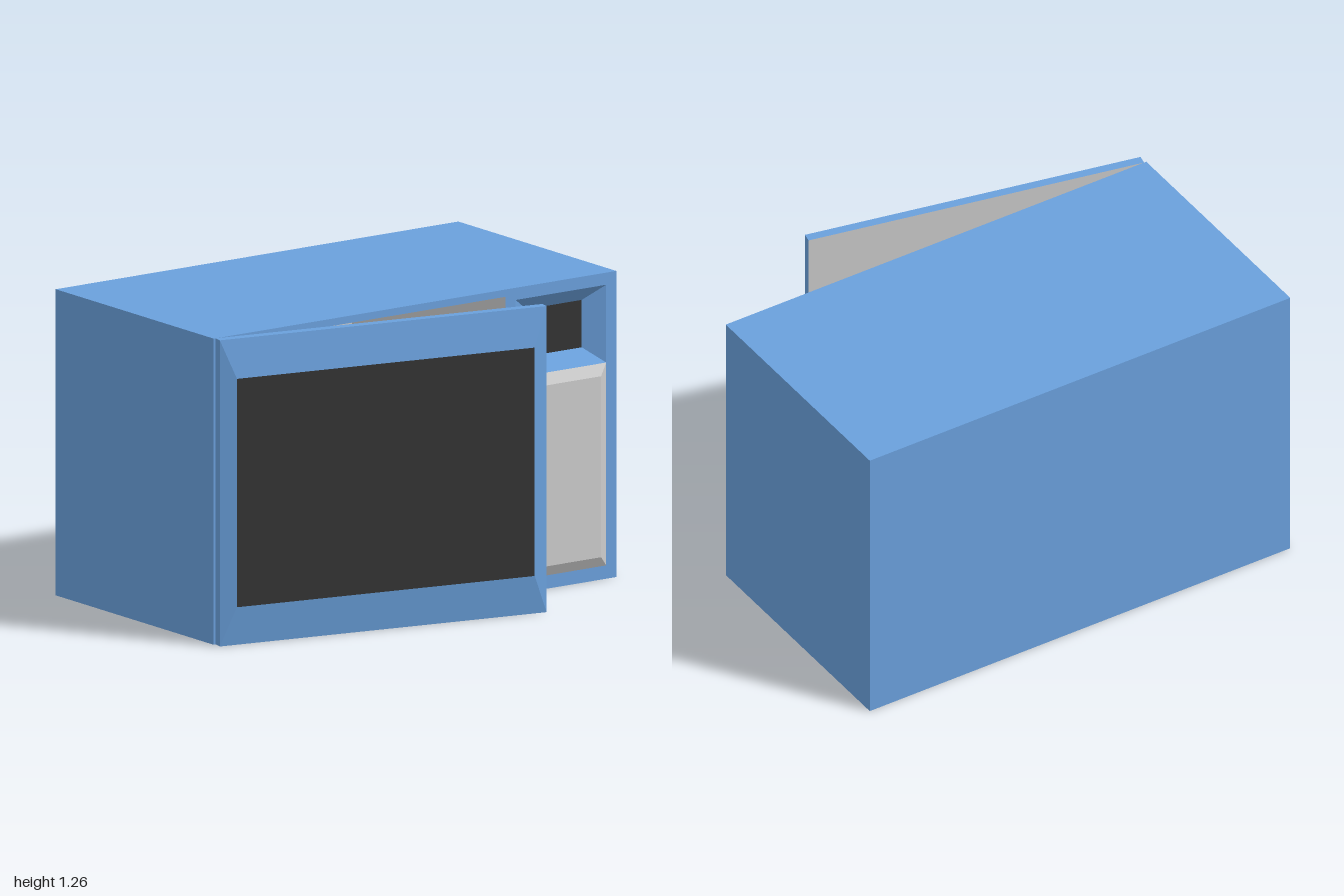
import * as THREE from 'three';

const paint = (color) => new THREE.MeshStandardMaterial({ color, flatShading: true });
const blue = paint(0x6aa0dc);
const grey = paint(0xcccccc);
const black = paint(0x333333);

// Corners of a rectangle [x0, x1, y0, y1, z], counter-clockwise from the front
const corners = ([x0, x1, y0, y1, z]) => [[x0, y0, z], [x1, y0, z], [x1, y1, z], [x0, y1, z]];

// Walls between successive rectangles: outward when z grows, inward when it shrinks
function walls(...rects) {
  const pos = [];
  for (let r = 0; r < rects.length - 1; r++) {
    const a = corners(rects[r]), b = corners(rects[r + 1]);
    for (let i = 0; i < 4; i++) {
      const j = (i + 1) % 4;
      pos.push(...a[i], ...a[j], ...b[j], ...a[i], ...b[j], ...b[i]);
    }
  }
  return fromPositions(pos);
}

// Flat rectangle facing +z, or -z when flipped
function panel(rect, flip = false) {
  const c = corners(rect);
  const order = flip ? [0, 2, 1, 0, 3, 2] : [0, 1, 2, 0, 2, 3];
  return fromPositions(order.flatMap((i) => c[i]));
}

function fromPositions(pos) {
  const g = new THREE.BufferGeometry();
  g.setAttribute('position', new THREE.Float32BufferAttribute(pos, 3));
  g.computeVertexNormals();
  return g;
}

function add(group, name, geometry, material) {
  const mesh = new THREE.Mesh(geometry, material);
  mesh.name = name;
  group.add(mesh);
  return mesh;
}

const outline = (Type, [x0, x1, y0, y1]) =>
  new Type([[x0, y0], [x1, y0], [x1, y1], [x0, y1]].map((p) => new THREE.Vector2(...p)));

export function createModel() {
  const model = new THREE.Group();
  model.name = 'microwave';
  const H = 1.26, back = -0.71, front = 0.36;

  // Casing with a front that has openings for the oven and the display
  const casing = new THREE.Group();
  casing.name = 'casing';
  model.add(casing);
  const opening = [-0.97, 0.45, 0.03, 1.23, front];
  const recess = [0.5, 0.95, 0.89, 1.21, front];
  add(casing, 'casingSides', walls([-1, 1, 0, H, back], [-1, 1, 0, H, front]), blue);
  add(casing, 'casingBack', panel([-1, 1, 0, H, back], true), blue);
  const face = outline(THREE.Shape, [-1, 1, 0, H]);
  face.holes.push(outline(THREE.Path, opening), outline(THREE.Path, recess));
  add(casing, 'casingFront', new THREE.ShapeGeometry(face), blue).position.z = front;

  // Oven cavity
  const cavityBack = [-0.97, 0.45, 0.03, 1.23, -0.68];
  add(model, 'cavityWalls', walls(opening, cavityBack), grey);
  add(model, 'cavityBack', panel(cavityBack), grey);

  // Sunken display
  const display = [0.59, 0.865, 0.955, 1.15, front - 0.05];
  add(model, 'displayRecess', walls(recess, display), blue);
  add(model, 'display', panel(display), black);

  // Raised keypad
  const keys = [0.545, 0.905, 0.1, 0.845, 0.387];
  add(model, 'keypadBevel', walls([0.5, 0.95, 0.055, 0.89, front], keys), grey);
  add(model, 'keypadFace', panel(keys), grey);

  // Door, ajar on its hinge
  const door = new THREE.Group();
  door.name = 'door';
  door.position.set(-0.99, 0, front);
  door.rotation.y = -0.203;
  model.add(door);
  const L = 1.44, glass = [0.065, L - 0.063, 0.16, 1.1, 0.063];
  add(door, 'doorFrame', walls([0, L, 0, H, 0], [0, L, 0, H, 0.04], glass), blue);
  add(door, 'doorWindow', panel(glass), black);
  add(door, 'doorLining', panel([0, L, 0, H, 0], true), grey);

  return model;
}
